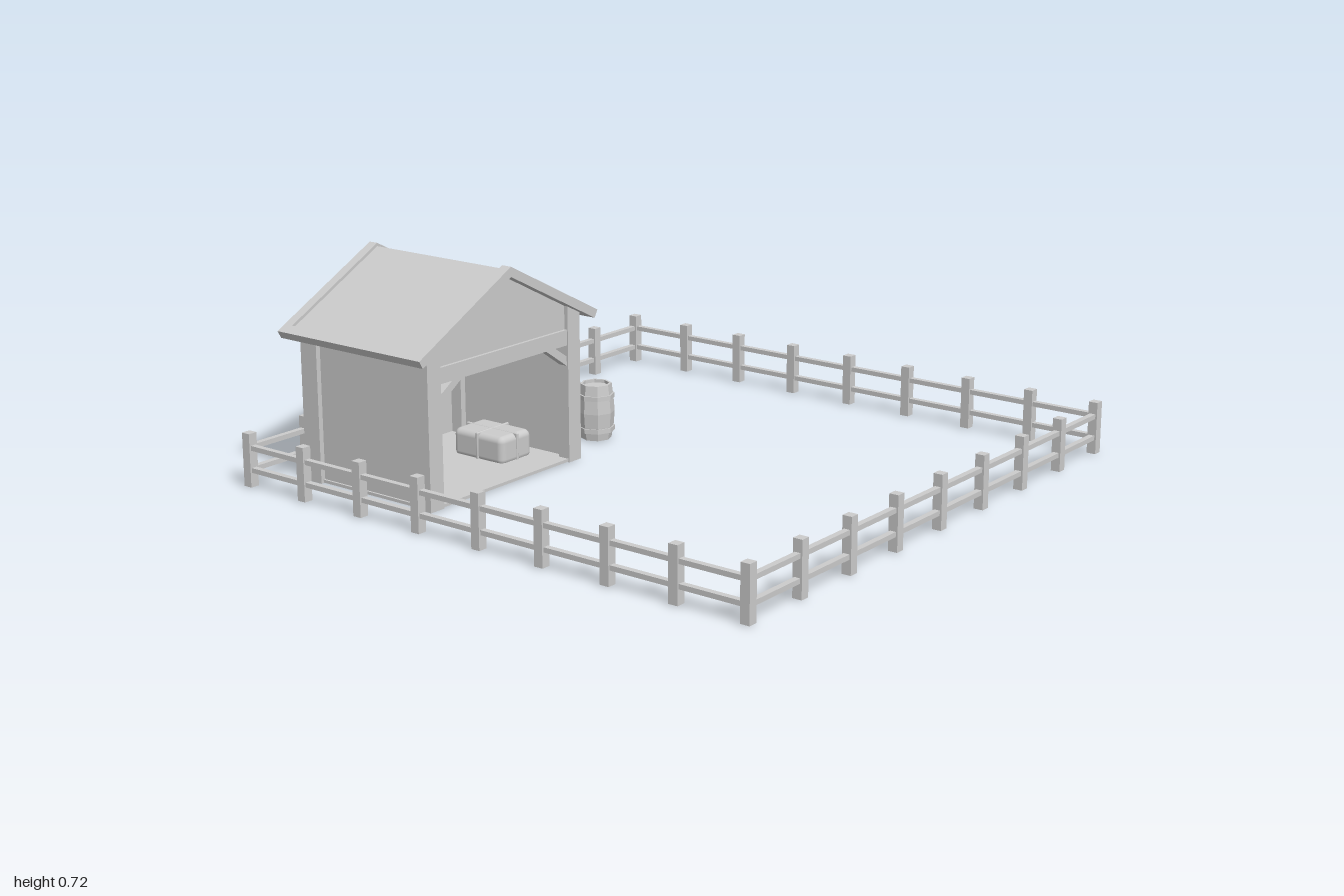
import * as THREE from 'three';
import { RoundedBoxGeometry } from 'three/addons/geometries/RoundedBoxGeometry.js';

const mat = new THREE.MeshStandardMaterial({ color: 0xcccccc });
const flatMat = new THREE.MeshStandardMaterial({ color: 0xcccccc, flatShading: true });

function add(parent, name, geometry, material = mat) {
  const mesh = new THREE.Mesh(geometry, material);
  mesh.name = name;
  parent.add(mesh);
  return mesh;
}

// Box given by its min and max corners
function box(parent, name, [x0, y0, z0], [x1, y1, z1]) {
  const mesh = add(parent, name, new THREE.BoxGeometry(x1 - x0, y1 - y0, z1 - z0));
  mesh.position.set((x0 + x1) / 2, (y0 + y1) / 2, (z0 + z1) / 2);
  return mesh;
}

// Outline in x, y pushed from z0 to z1
function prism(parent, name, points, z0, z1) {
  const shape = new THREE.Shape(points.map(([x, y]) => new THREE.Vector2(x, y)));
  const geometry = new THREE.ExtrudeGeometry(shape, { depth: z1 - z0, bevelEnabled: false });
  geometry.translate(0, 0, z0);
  return add(parent, name, geometry);
}

// Fence: posts and two rails on four sides
function createFence() {
  const fence = new THREE.Group();
  fence.name = 'fence';
  const half = 0.983, bays = 8, post = 0.032;
  for (let side = 0; side < 4; side++) {
    const run = new THREE.Group();
    run.name = 'fenceSide';
    run.rotation.y = side * Math.PI / 2;
    for (let i = 0; i < bays; i++) {
      const x = -half + i * 2 * half / bays;
      box(run, 'fencePost', [x - post / 2, 0, half - post / 2], [x + post / 2, 0.178, half + post / 2]);
    }
    for (const y of [0.056, 0.13]) {
      box(run, 'fenceRail', [-half, y - 0.008, half - 0.01], [half, y + 0.008, half + 0.01]);
    }
    fence.add(run);
  }
  return fence;
}

// Open-fronted shed, built around its own ridge line
function createShed() {
  const shed = new THREE.Group();
  shed.name = 'shed';
  const front = -0.335, back = -0.888, slope = 0.52;
  const under = d => 0.687 - slope * Math.abs(d);

  box(shed, 'floor', [-0.35, 0.002, back + 0.01], [0.35, 0.012, front - 0.005]);

  for (const s of [-1, 1]) {
    // Corner posts with tops cut to the roof slope
    const post = [[s * 0.3, 0], [s * 0.36, 0], [s * 0.36, under(0.36)], [s * 0.3, under(0.3)]];
    prism(shed, 'frontPost', post, front - 0.045, front);
    prism(shed, 'backPost', post, back, back + 0.07);

    // Recessed side wall
    prism(shed, 'sideWall', [[s * 0.322, 0], [s * 0.343, 0], [s * 0.343, under(0.343)], [s * 0.322, under(0.322)]],
      back + 0.03, front - 0.03);

    // Diagonal brace under the beam
    prism(shed, 'brace', [[s * 0.3, 0.33], [s * 0.3, 0.362], [s * 0.235, 0.405], [s * 0.19, 0.405]],
      front - 0.037, front - 0.006);

    // Roof slope: sunken panel inside a raised border
    const slab = (name, a, b, drop, z0, z1) => {
      const top = d => 0.72 - drop - slope * d;
      const cut = b === 0.42 ? 0.015 : 0;
      prism(shed, name, [[s * a, under(a)], [s * a, top(a)], [s * b, top(b)], [s * (b - cut), under(b - cut)]], z0, z1);
    };
    slab('roofPanel', 0, 0.39, 0.011, -0.892, -0.345);
    slab('frontBargeboard', 0, 0.42, 0, -0.345, -0.308);
    slab('backBargeboard', 0, 0.42, 0, -0.926, -0.892);
    slab('eaveBoard', 0.388, 0.42, 0, -0.892, -0.345);
  }

  // Gable walls and front beam
  const gable = (d, y) => [[-d, y], [d, y], [d, under(d)], [0, under(0)], [-d, under(d)]];
  prism(shed, 'backWall', gable(0.34, 0), back + 0.004, back + 0.026);
  prism(shed, 'frontGable', gable(0.305, 0.43), front - 0.034, front - 0.014);
  box(shed, 'frontBeam', [-0.3, 0.4, front - 0.042], [0.3, 0.452, front - 0.003]);

  shed.position.x = -0.475;
  return shed;
}

// Straw bale with two crossing straps, resting on its origin
function createBale(x, y, z) {
  const bale = new THREE.Group();
  bale.name = 'strawBale';
  const w = 0.15, h = 0.099, d = 0.218, grow = 0.008;
  add(bale, 'straw', new RoundedBoxGeometry(w, h, d, 3, 0.022));
  add(bale, 'crossStrap', new RoundedBoxGeometry(w + grow, h + 0.004, 0.01, 2, 0.004));
  add(bale, 'lengthStrap', new RoundedBoxGeometry(0.01, h + 0.004, d + grow, 2, 0.004));
  bale.position.set(x, y + h / 2, z);
  return bale;
}

// Eight-sided barrel with a sunken lid and two hoops
function createBarrel() {
  const barrel = new THREE.Group();
  barrel.name = 'barrel';
  const lathe = (name, pts) =>
    add(barrel, name, new THREE.LatheGeometry(pts.map(([r, y]) => new THREE.Vector2(r, y)), 8), flatMat);
  lathe('barrelBody', [[0, 0], [0.052, 0], [0.06, 0.045], [0.064, 0.095], [0.06, 0.145], [0.054, 0.193],
    [0.046, 0.193], [0.046, 0.182], [0, 0.182]]);
  for (const y of [0.035, 0.15]) {
    lathe('barrelHoop', [[0.055, y - 0.008], [0.064, y - 0.008], [0.064, y + 0.008], [0.055, y + 0.008]]);
  }
  barrel.position.set(0.103, 0, -0.45);
  return barrel;
}

export function createModel() {
  const model = new THREE.Group();
  model.name = 'paddock';
  model.add(createFence(), createShed(), createBarrel());
  // Two stacked bales outside, one inside the shed
  model.add(createBale(0.11, 0, -0.688), createBale(0.11, 0.097, -0.688), createBale(-0.28, 0.001, -0.58));
  return model;
}
